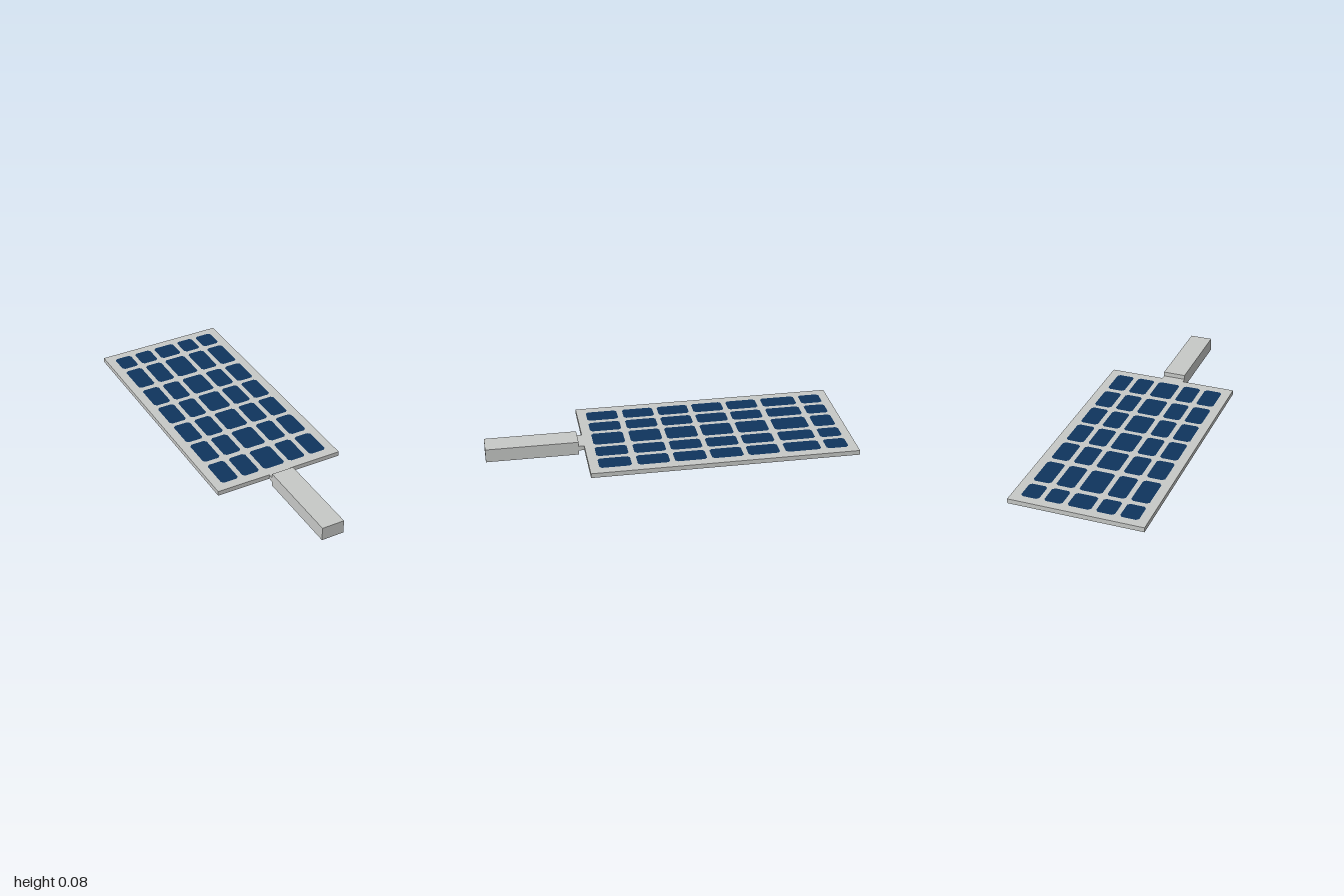
import * as THREE from 'three';

const frameMat = new THREE.MeshStandardMaterial({ color: 0xc7c9c7 });
frameMat.name = 'light grey frame';
const cellMat = new THREE.MeshStandardMaterial({ color: 0x0f355e });
cellMat.name = 'navy solar cell';

// Box given by its min and max corners
function box(name, [x0, y0, z0], [x1, y1, z1]) {
  const mesh = new THREE.Mesh(new THREE.BoxGeometry(x1 - x0, y1 - y0, z1 - z0), frameMat);
  mesh.position.set((x0 + x1) / 2, (y0 + y1) / 2, (z0 + z1) / 2);
  mesh.name = name;
  return mesh;
}

// Rectangle with clipped corners
function cellShape(w, h, c = 0.013) {
  const x = w / 2, y = h / 2;
  return new THREE.Shape([
    [x - c, -y], [x, c - y], [x, y - c], [x - c, y],
    [c - x, y], [-x, y - c], [-x, c - y], [c - x, -y],
  ].map(([a, b]) => new THREE.Vector2(a, b)));
}

export function createModel() {
  const model = new THREE.Group();
  model.name = 'solarPanel';
  const bottom = 0.025, top = 0.051;

  // Panel, connecting neck and mounting arm
  model.add(box('panel', [-0.367, bottom, -1], [0.367, top, 0.465]));
  model.add(box('neck', [-0.063, bottom, 0.465], [0.063, top, 0.495]));
  model.add(box('arm', [-0.063, 0, 0.495], [0.063, 0.076, 1]));

  // Cell grid on both faces
  const columns = [[-0.317, -0.217], [-0.19, -0.09], [-0.063, 0.063], [0.09, 0.19], [0.217, 0.317]];
  const rows = [[-0.952, -0.83], [-0.8, -0.603], [-0.571, -0.397], [-0.37, -0.196],
    [-0.169, 0.005], [0.032, 0.206], [0.238, 0.413]];
  for (const side of [1, -1]) {
    const cells = new THREE.Group();
    cells.name = side > 0 ? 'topCells' : 'bottomCells';
    for (const [x0, x1] of columns) {
      for (const [z0, z1] of rows) {
        const cell = new THREE.Mesh(new THREE.ShapeGeometry(cellShape(x1 - x0, z1 - z0)), cellMat);
        cell.rotation.x = -side * Math.PI / 2;
        cell.position.set((x0 + x1) / 2, side > 0 ? top + 0.001 : bottom - 0.001, (z0 + z1) / 2);
        cell.name = 'cell';
        cells.add(cell);
      }
    }
    model.add(cells);
  }
  return model;
}
